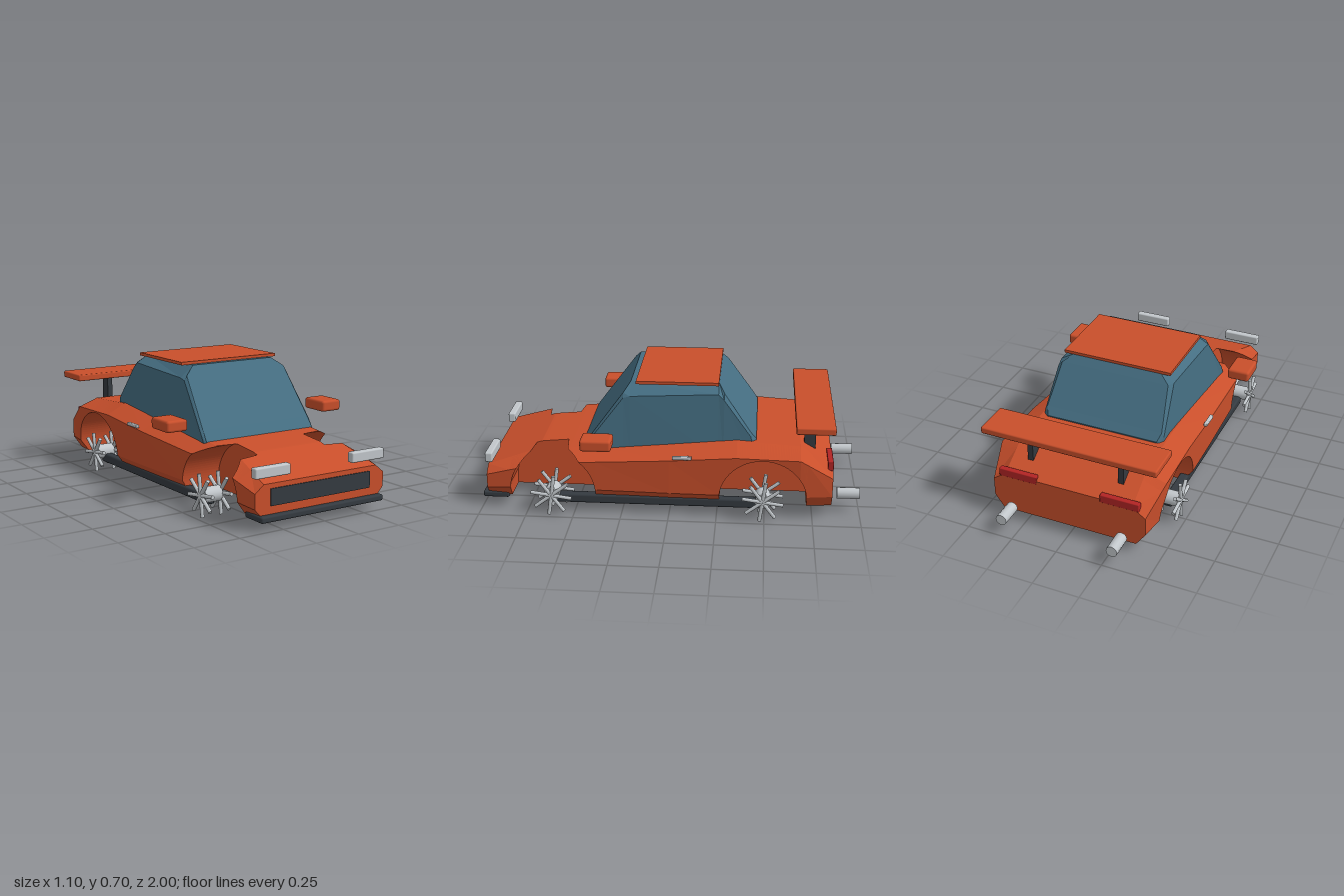
import * as THREE from 'three';
import { RoundedBoxGeometry } from 'three/addons/geometries/RoundedBoxGeometry.js';

const mat = (name, color) => Object.assign(new THREE.MeshStandardMaterial({ color }), { name });

// Joins cross-sections ordered front to back; each is [z, right-half points from top centre to bottom centre]
function loft(sections) {
  const rings = sections.map(([z, half]) => {
    const mirrored = half.slice(1, -1).reverse().map(([x, y]) => [-x, y]);
    return [...half, ...mirrored].map(([x, y]) => [x, y, z]);
  });
  const pos = [];
  const n = rings[0].length;
  const cap = (ring, front) => {
    const mid = [0, (ring[0][1] + ring[(n / 2)][1]) / 2, ring[0][2]];
    for (let i = 0; i < n; i++) {
      const a = ring[i], b = ring[(i + 1) % n];
      pos.push(...mid, ...(front ? b : a), ...(front ? a : b));
    }
  };
  cap(rings[0], true);
  for (let k = 0; k + 1 < rings.length; k++) {
    for (let i = 0; i < n; i++) {
      const j = (i + 1) % n, A = rings[k], B = rings[k + 1];
      pos.push(...A[i], ...A[j], ...B[j], ...A[i], ...B[j], ...B[i]);
    }
  }
  cap(rings[rings.length - 1], false);
  const g = new THREE.BufferGeometry();
  g.setAttribute('position', new THREE.Float32BufferAttribute(pos, 3));
  g.computeVertexNormals();
  return g;
}

const FLOOR = 0.06, WELL_X = 0.21, ARCH_R = 0.228, ARCH_Y = 0.105;
const AXLES = [0.615, -0.49];

// z, top y, top x, shoulder y, shoulder x, low y, low x, bottom x
const BODY = [
  [0.97, 0.225, 0.345, 0.185, 0.395, 0.11, 0.395, 0.35],
  [0.70, 0.31, 0.31, 0.26, 0.42, 0.13, 0.42, 0.38],
  [0.52, 0.327, 0.325, 0.28, 0.425, 0.13, 0.425, 0.385],
  [0.00, 0.367, 0.34, 0.315, 0.445, 0.13, 0.44, 0.39],
  [-0.35, 0.40, 0.35, 0.345, 0.455, 0.13, 0.445, 0.39],
  [-0.68, 0.38, 0.35, 0.34, 0.46, 0.13, 0.445, 0.39],
  [-0.85, 0.28, 0.35, 0.23, 0.42, 0.13, 0.42, 0.37],
];

function bodyAt(z) {
  let k = 0;
  while (k < BODY.length - 2 && z < BODY[k + 1][0]) k++;
  const t = (z - BODY[k][0]) / (BODY[k + 1][0] - BODY[k][0]);
  return BODY[k].map((v, i) => v + (BODY[k + 1][i] - v) * t);
}

// Half section whose outer part is cut away below the arch height
function bodyHalf(z, arch) {
  const [, yt, xt, ys, xs, yl, xl, xb] = bodyAt(z);
  const outer = [[xt, yt], [xs, ys], [xl, yl], [xb, FLOOR]];
  const a = Math.min(arch, yt);
  let exit = [WELL_X, yt];
  if (arch < yt) {
    for (let i = 0; i < 3; i++) {
      const [p, q] = [outer[i], outer[i + 1]];
      if (p[1] >= a && q[1] <= a) {
        const t = (p[1] - a) / (p[1] - q[1]);
        exit = [p[0] + (q[0] - p[0]) * t, a];
        break;
      }
    }
  }
  const kept = outer.map((p) => (p[1] < a || arch >= yt ? exit : p));
  return [[0, yt], [WELL_X, yt], ...kept, [WELL_X, a], [WELL_X, FLOOR], [0, FLOOR]];
}

function bodyGeometry() {
  const stations = BODY.map((s) => [s[0], FLOOR])
    .filter(([z]) => AXLES.every((c) => Math.abs(z - c) > ARCH_R));
  for (const c of AXLES) {
    stations.push([c + ARCH_R + 1e-4, FLOOR], [c - ARCH_R - 1e-4, FLOOR]);
    for (let i = 0; i <= 48; i++) {
      const t = (i / 48) * Math.PI;
      stations.push([c + ARCH_R * Math.cos(t), ARCH_Y + ARCH_R * Math.sin(t)]);
    }
  }
  stations.sort((p, q) => q[0] - p[0]);
  return loft(stations.map(([z, a]) => [z, bodyHalf(z, a)]));
}

// z, top y, top x, shoulder y, shoulder x
const CABIN = [
  [0.47, 0.33, 0.335, 0.32, 0.338],
  [0.43, 0.385, 0.332, 0.37, 0.345],
  [0.245, 0.635, 0.31, 0.61, 0.325],
  [0.21, 0.68, 0.25, 0.62, 0.325],
  [-0.25, 0.68, 0.25, 0.64, 0.32],
  [-0.28, 0.64, 0.3, 0.61, 0.325],
  [-0.42, 0.44, 0.325, 0.42, 0.338],
  [-0.45, 0.40, 0.31, 0.38, 0.32],
];

export function createModel() {
  const paint = mat('orange paint', 0xc94f2b);
  const glass = mat('blue glass', 0x456e82);
  const trim = mat('dark trim', 0x343a40);
  const metal = mat('silver metal', 0xc2c7cb);
  const red = mat('red lamp', 0xb32424);

  const car = new THREE.Group();
  car.name = 'car';
  const add = (name, geo, material, x, y, z, parent = car) => {
    const m = new THREE.Mesh(geo, material);
    m.name = name;
    m.position.set(x, y, z);
    parent.add(m);
    return m;
  };
  const box = (w, h, d) => new THREE.BoxGeometry(w, h, d);
  const soft = (w, h, d, r) => new RoundedBoxGeometry(w, h, d, 2, r);

  // Shell, cabin and centre-line parts
  add('body', bodyGeometry(), paint, 0, 0, 0);
  add('cabin', loft(CABIN.map(([z, yt, xt, ys, xs]) =>
    [z, [[0, yt], [xt, yt], [xs, ys], [0.345, 0.3], [0, 0.3]]])), glass, 0, 0, 0);
  add('underPanel', box(0.56, 0.006, 0.6), glass, 0, 0.06, 0.07);
  add('roof', box(0.6, 0.016, 0.43), paint, 0, 0.687, -0.035);
  add('grille', box(0.61, 0.085, 0.008), trim, 0, 0.158, 0.971);
  add('splitter', soft(0.75, 0.032, 0.14, 0.01), trim, 0, 0.06, 0.93);
  add('spoilerWing', soft(0.95, 0.037, 0.2, 0.008), paint, 0, 0.51, -0.75);

  // Paired parts
  for (const s of [1, -1]) {
    const side = s > 0 ? 'left' : 'right';
    add(side + 'Headlight', soft(0.207, 0.053, 0.04, 0.008), metal, s * 0.292, 0.281, 0.955);
    add(side + 'Taillight', soft(0.21, 0.045, 0.03, 0.005), red, s * 0.28, 0.283, -0.837);
    add(side + 'Mirror', soft(0.122, 0.06, 0.16, 0.014), paint, s * 0.489, 0.425, 0.365);
    add(side + 'DoorHandle', soft(0.02, 0.018, 0.1, 0.005), metal, s * 0.452, 0.337, -0.07);
    add(side + 'Skirt', soft(0.05, 0.05, 1.1, 0.012), trim, s * 0.395, 0.073, 0.05);
    add(side + 'SpoilerPost', box(0.03, 0.17, 0.06), trim, s * 0.25, 0.415, -0.73);
    add(side + 'Exhaust', new THREE.CylinderGeometry(0.03, 0.03, 0.12, 12), metal,
      s * 0.305, 0.103, -0.94).rotation.x = Math.PI / 2;

    // Bare wheels: a hub with a star of spokes at each end
    AXLES.forEach((z, k) => {
      const wheel = new THREE.Group();
      wheel.name = side + (k ? 'Rear' : 'Front') + 'Wheel';
      wheel.position.set(s * 0.41, 0.108, z);
      car.add(wheel);
      add('hub', new THREE.CylinderGeometry(0.04, 0.04, 0.1, 16), metal, 0, 0, 0, wheel).rotation.z = Math.PI / 2;
      for (const x of [-0.055, 0.055]) {
        for (let i = 0; i < 8; i++) {
          const a = (i / 8) * Math.PI * 2 - 0.14;
          add('spoke', new THREE.CylinderGeometry(0.01, 0.01, 0.106, 8), metal,
            x, Math.cos(a) * 0.055, Math.sin(a) * 0.055, wheel).rotation.x = a;
        }
      }
    });
  }
  return car;
}
